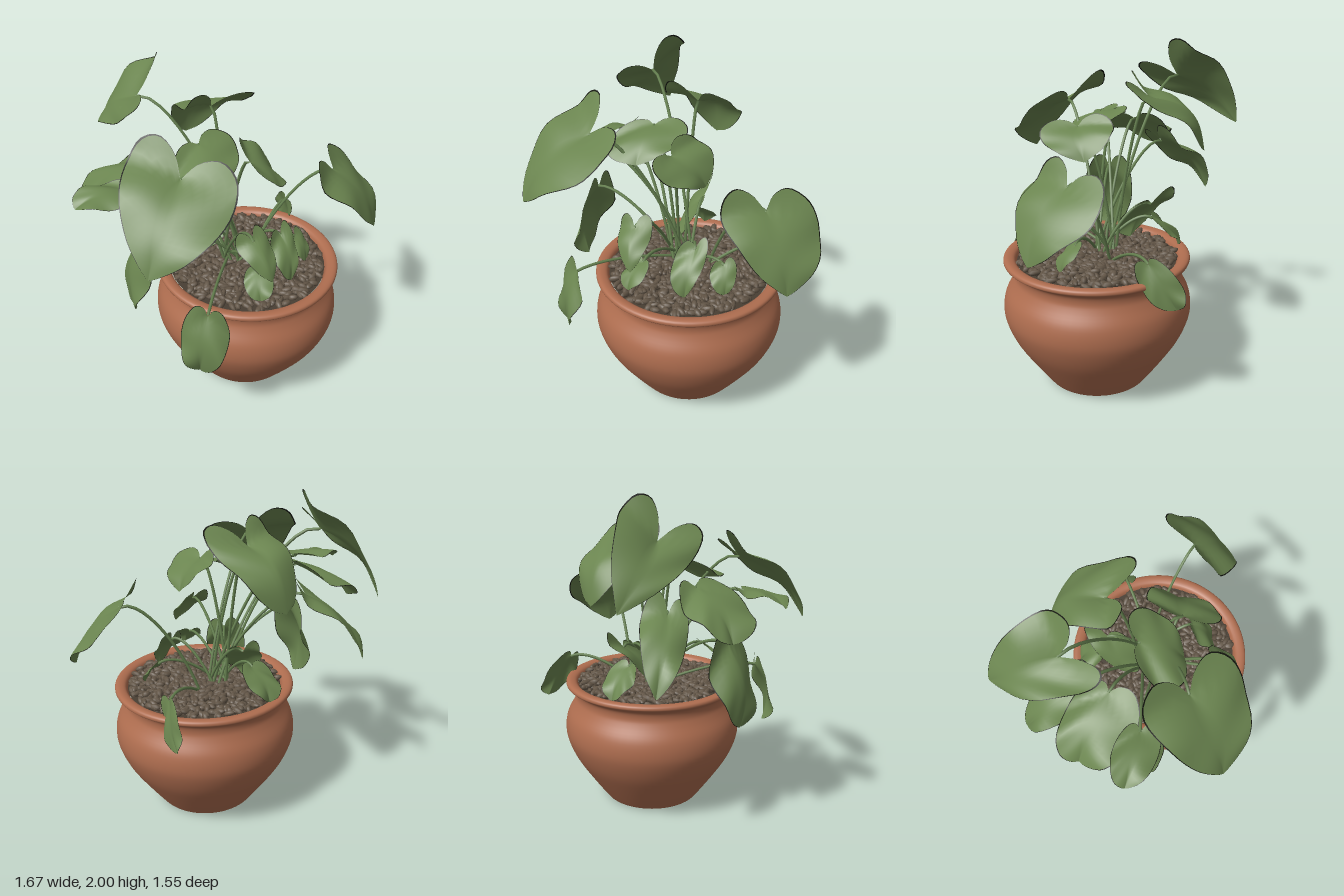
import * as THREE from 'three';
import { mergeGeometries } from 'three/addons/utils/BufferGeometryUtils.js';

const V = (a) => new THREE.Vector3(...a);
const POT_X = 0.11, POT_Z = 0.22;

// small seeded generator
function seeded(seed) {
  let s = seed;
  return () => (s = (s * 16807) % 2147483647) / 2147483647;
}

// half outline of a heart-shaped blade: x = across, y = along the midrib
const OUTLINE = new THREE.CatmullRomCurve3(
  [[0, 0, 0], [0.22, -0.2, 0], [0.6, -0.3, 0], [0.92, -0.16, 0], [1, 0.1, 0],
    [0.86, 0.4, 0], [0.52, 0.72, 0], [0.16, 0.92, 0], [0, 1, 0]].map(V));
// stations across the blade; the outermost pair makes the dark margin
const ACROSS = [-1, -0.975, -0.83, -0.66, -0.5, -0.33, -0.16, 0, 0.16, 0.33, 0.5, 0.66, 0.83, 0.975, 1];

// blade spanned by its notch, its tip and its two shoulders
function bladeGeometry(notch, tip, shoulderA, shoulderB, blunt, arch) {
  const N = V(notch), A = V(shoulderA), B = V(shoulderB);
  const mid = V(tip).sub(N);
  const side = (p) => p.clone().sub(N).addScaledVector(mid, 0.15).divideScalar(0.9);
  const sideA = side(A), sideB = side(B);
  const normal = new THREE.Vector3().crossVectors(mid, A.clone().sub(B)).normalize();
  if (normal.y < 0) normal.negate();
  const flip = new THREE.Vector3().crossVectors(mid, sideB).dot(normal) < 0;
  const size = mid.length();
  const rows = 26, cols = ACROSS.length - 1, pos = [], inner = [], margin = [];
  for (let i = 0; i <= rows; i++) {
    const o = OUTLINE.getPoint(i / rows);
    const reach = o.y > 0.1 ? Math.pow(Math.max(o.x, 0), blunt) : o.x;
    const ribU = Math.pow(i / rows, 1.2);
    for (let j = 0; j <= cols; j++) {
      const t = ACROSS[j], w = Math.abs(t);
      const u = ribU + (o.y - ribU) * w, v = reach * w;
      const lift = arch * Math.sin(Math.PI * Math.max(u, 0)) * (1 - 0.4 * v)
        + 0.1 * v * (1 - v) + 0.035 * v * Math.sin(u * 9 + t * 2);
      const p = N.clone().addScaledVector(mid, u)
        .addScaledVector(t < 0 ? sideA : sideB, v)
        .addScaledVector(normal, lift * size);
      pos.push(p.x, p.y, p.z);
      if (i < rows && j < cols) {
        const a = i * (cols + 1) + j, b = a + cols + 1;
        const list = j === 0 || j === cols - 1 ? margin : inner;
        if (flip) list.push(a, a + 1, b, b, a + 1, b + 1);
        else list.push(a, b, a + 1, b, b + 1, a + 1);
      }
    }
  }
  const g = new THREE.BufferGeometry();
  g.setAttribute('position', new THREE.Float32BufferAttribute(pos, 3));
  g.setIndex(inner.concat(margin));
  g.addGroup(0, inner.length, 0);
  g.addGroup(inner.length, margin.length, 1);
  g.computeVertexNormals();
  return g;
}

// arching stalk from the soil to the notch of a blade
function stalkGeometry(base, notch) {
  const b = V(base), n = V(notch);
  const c1 = b.clone().lerp(n, 0.2).setY(b.y + (n.y - b.y) * 0.5);
  const c2 = b.clone().lerp(n, 0.72).setY(n.y + 0.06);
  const curve = new THREE.CubicBezierCurve3(b, c1, c2, n);
  return new THREE.TubeGeometry(curve, 16, 0.009, 6);
}

export function createModel() {
  const terracotta = new THREE.MeshStandardMaterial({ color: 0xae6d4f });
  const leafGreen = new THREE.MeshStandardMaterial({ color: 0x6b8550, side: THREE.DoubleSide });
  const marginDark = new THREE.MeshStandardMaterial({ color: 0x14160f, side: THREE.DoubleSide });
  const stalkGreen = new THREE.MeshStandardMaterial({ color: 0x668150 });
  const pebbleBrown = new THREE.MeshStandardMaterial({ color: 0x625546 });
  const soilBrown = new THREE.MeshStandardMaterial({ color: 0x483e33 });

  const model = new THREE.Group();
  model.name = 'pottedPlant';
  const add = (geometry, material, name, parent) => {
    const mesh = new THREE.Mesh(geometry, material);
    mesh.name = name;
    parent.add(mesh);
  };

  // pot: smooth belly, narrow neck and rolled rim
  const pot = new THREE.Group();
  pot.name = 'pot';
  pot.position.set(POT_X, 0, POT_Z);
  model.add(pot);
  const wall = new THREE.SplineCurve([
    [0.27, 0], [0.3, 0.004], [0.325, 0.03], [0.43, 0.18], [0.505, 0.3], [0.55, 0.41], [0.56, 0.49],
    [0.545, 0.57], [0.505, 0.645], [0.488, 0.69], [0.495, 0.735], [0.53, 0.76],
    [0.549, 0.775], [0.545, 0.795], [0.52, 0.802], [0.485, 0.79], [0.47, 0.75], [0.465, 0.7],
  ].map(([x, y]) => new THREE.Vector2(x, y)));
  add(new THREE.LatheGeometry(wall.getPoints(70), 72), terracotta, 'potWall', pot);
  const base = new THREE.CircleGeometry(0.27, 72);
  base.rotateX(Math.PI / 2);
  add(base, terracotta, 'potBase', pot);

  // soil with a layer of elongated pebbles
  const soil = new THREE.CircleGeometry(0.472, 48);
  soil.rotateX(-Math.PI / 2);
  soil.translate(0, 0.77, 0);
  add(soil, soilBrown, 'soil', pot);
  const rand = seeded(77);
  const pebbles = [];
  const COUNT = 760;
  for (let i = 0; i < COUNT; i++) {
    const r = 0.455 * Math.sqrt((i + 0.5) / COUNT), a = i * 2.39996 + rand() * 0.2;
    const g = new THREE.SphereGeometry(1, 8, 5);
    g.scale(0.029 + rand() * 0.014, 0.014 + rand() * 0.006, 0.015 + rand() * 0.006);
    g.rotateZ((rand() - 0.5) * 0.7);
    g.rotateY(rand() * Math.PI);
    g.translate(r * Math.cos(a), 0.774 + rand() * 0.02, r * Math.sin(a));
    pebbles.push(g);
  }
  add(mergeGeometries(pebbles), pebbleBrown, 'pebbles', pot);

  // leaves: each gets a blade and a stalk rooted near the middle of the pot
  const foliage = new THREE.Group();
  foliage.name = 'foliage';
  model.add(foliage);
  let count = 0;
  function leaf(name, notch, tip, shoulderA, shoulderB, { root, blunt = 0.85, arch = 0.14 } = {}) {
    const g = new THREE.Group();
    g.name = name;
    foliage.add(g);
    const a = count++ * 2.4;
    const from = root || [0.06 + 0.06 * Math.cos(a), 0.77, 0.15 + 0.06 * Math.sin(a)];
    add(bladeGeometry(notch, tip, shoulderA, shoulderB, blunt, arch), [leafGreen, marginDark], 'blade', g);
    add(stalkGeometry(from, notch), stalkGreen, 'stalk', g);
  }
  const leftRoot = [0.22, 0.77, 0.17];

  // tall leaves
  leaf('topBackLeaf', [-0.2, 1.77, -0.38], [-0.16, 1.46, -0.77], [-0.05, 1.98, -0.36], [-0.37, 1.78, -0.2]);
  leaf('lowerBackLeaf', [-0.22, 1.36, -0.29], [-0.31, 1.0, -0.64], [-0.1, 1.41, -0.32], [-0.32, 1.34, -0.25]);
  leaf('centreBackLeaf', [0.11, 1.7, -0.1], [0.19, 1.39, -0.41], [-0.07, 1.79, -0.07], [0.28, 1.77, 0.07], { blunt: 0.45, arch: 0.24 });
  leaf('rightFrontLargeLeaf', [-0.44, 1.61, 0.25], [-0.8, 1.25, 0.4], [-0.5, 1.74, 0.0], [-0.27, 1.61, 0.48]);
  leaf('rightBackLeaf', [-0.33, 1.49, -0.15], [-0.62, 1.26, -0.36], [-0.31, 1.45, -0.33], [-0.48, 1.46, -0.01], { blunt: 0.7 });
  leaf('rightOuterLeaf', [-0.56, 1.47, -0.02], [-0.83, 1.42, -0.14], [-0.58, 1.48, -0.14], [-0.61, 1.46, 0.08]);
  leaf('middleLeaf', [-0.12, 1.6, 0.04], [-0.18, 1.46, 0.28], [-0.33, 1.55, 0.07], [0.07, 1.6, 0.06]);
  leaf('middleFrontLeaf', [0.02, 1.54, 0.3], [0.21, 1.38, 0.31], [0.1, 1.59, 0.14], [-0.04, 1.53, 0.49]);
  leaf('leftFrontLargeLeaf', [0.54, 1.35, 0.48], [0.68, 1.0, 0.72], [0.32, 1.41, 0.55], [0.75, 1.35, 0.34], { root: leftRoot });

  // low leaves
  leaf('leftRimLeaf', [0.62, 0.91, 0.07], [0.72, 0.67, -0.06], [0.61, 0.83, 0.13], [0.68, 0.88, -0.04], { root: leftRoot, blunt: 1, arch: 0.06 });
  leaf('rightHangingFrontLeaf', [-0.49, 0.88, 0.5], [-0.55, 0.51, 0.5], [-0.44, 0.83, 0.61], [-0.57, 0.86, 0.41]);
  leaf('rightHangingBackLeaf', [-0.48, 1.15, -0.02], [-0.57, 0.66, -0.02], [-0.42, 1.08, -0.15], [-0.52, 1.1, 0.12]);
  leaf('frontHeartLeaf', [-0.15, 1.2, 0.5], [-0.15, 1.01, 0.65], [-0.23, 1.21, 0.44], [-0.06, 1.23, 0.47]);
  leaf('frontLowLeaf', [0.17, 1.04, 0.42], [0.13, 0.81, 0.56], [0.07, 1.02, 0.43], [0.24, 1.07, 0.42]);
  leaf('frontSmallLeaf', [0.33, 0.94, 0.4], [0.35, 0.8, 0.49], [0.26, 0.92, 0.43], [0.39, 0.95, 0.38]);
  leaf('frontTinyLeaf', [-0.11, 0.98, 0.5], [-0.18, 0.86, 0.6], [-0.18, 0.96, 0.47], [-0.07, 0.97, 0.57]);
  leaf('innerLeaf', [0.15, 1.08, -0.1], [0.0, 0.83, -0.02], [0.19, 1.16, -0.23], [0.12, 1.02, 0.04]);
  leaf('innerBackLeaf', [0.1, 0.97, -0.13], [0.14, 0.8, -0.28], [0.02, 0.94, -0.2], [0.2, 0.96, -0.13]);

  return model;
}
